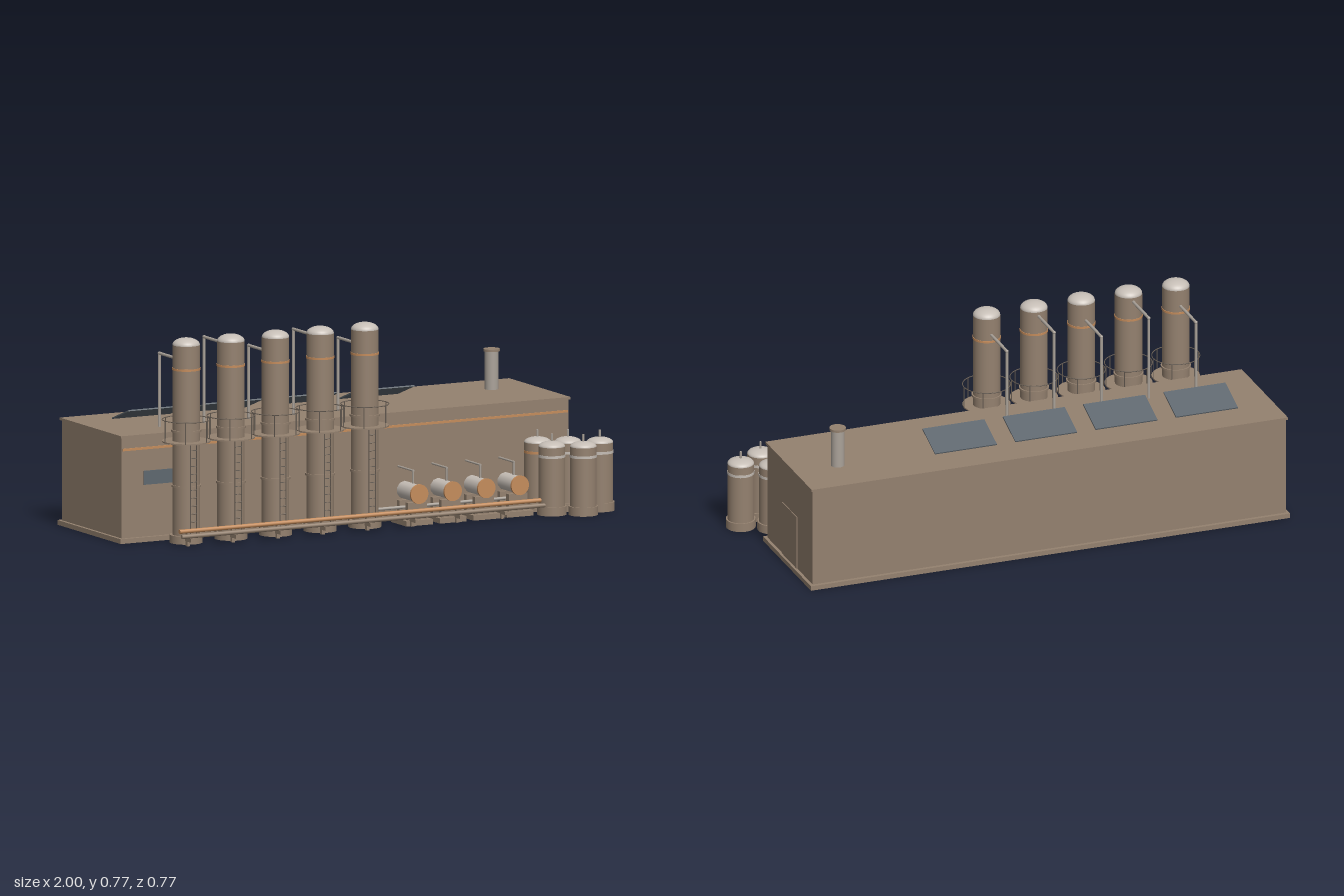
import * as THREE from 'three';

const mat = (name, color) => {
  const m = new THREE.MeshStandardMaterial({ color });
  m.name = name;
  return m;
};

export function createModel() {
  const clay = mat('clay brown', 0x94816f);
  const pale = mat('pale steel', 0xc6beb6);
  const steel = mat('pipe steel', 0xaaa299);
  const copper = mat('copper orange', 0xc48c5c);
  const glass = mat('slate glass', 0x5e676e);
  const rail = mat('dark rail', 0x6a6056);

  const model = new THREE.Group();
  model.name = 'processingPlant';

  const add = (parent, name, geo, material, x = 0, y = 0, z = 0) => {
    const m = new THREE.Mesh(geo, material);
    m.name = name;
    m.position.set(x, y, z);
    parent.add(m);
    return m;
  };
  const group = (name, x = 0, z = 0) => {
    const g = new THREE.Group();
    g.name = name;
    g.position.set(x, 0, z);
    model.add(g);
    return g;
  };
  // box given by its limits
  const box = (p, name, material, x0, x1, y0, y1, z0, z1) =>
    add(p, name, new THREE.BoxGeometry(x1 - x0, y1 - y0, z1 - z0), material,
      (x0 + x1) / 2, (y0 + y1) / 2, (z0 + z1) / 2);
  // upright cylinder between two heights
  const cyl = (p, name, material, r, y0, y1, x = 0, z = 0, seg = 32) =>
    add(p, name, new THREE.CylinderGeometry(r, r, y1 - y0, seg), material, x, (y0 + y1) / 2, z);
  // straight rod between two points
  const rod = (p, name, material, r, a, b) => {
    const A = new THREE.Vector3(...a), B = new THREE.Vector3(...b);
    const m = add(p, name, new THREE.CylinderGeometry(r, r, A.distanceTo(B), 10), material);
    m.position.addVectors(A, B).multiplyScalar(0.5);
    m.quaternion.setFromUnitVectors(new THREE.Vector3(0, 1, 0), B.sub(A).normalize());
    return m;
  };
  const dome = (p, name, material, r, h, y) => {
    const g = new THREE.SphereGeometry(r, 32, 10, 0, Math.PI * 2, 0, Math.PI / 2);
    g.scale(1, h / r, 1);
    return add(p, name, g, material, 0, y, 0);
  };

  // Main hall
  const hall = group('hall');
  box(hall, 'plinth', clay, -1, 0.915, 0, 0.018, -0.387, 0.115);
  box(hall, 'walls', clay, -0.988, 0.903, 0.018, 0.397, -0.373, 0.1);
  box(hall, 'roof', clay, -0.994, 0.909, 0.397, 0.406, -0.379, 0.106);
  box(hall, 'wallStripe', copper, -0.985, 0.9, 0.348, 0.357, 0.099, 0.104);
  box(hall, 'window', glass, -0.895, -0.665, 0.214, 0.267, 0.098, 0.103);
  box(hall, 'door', clay, 0.902, 0.906, 0.018, 0.227, -0.212, -0.061);

  // Tilted roof panels
  for (let i = 0; i < 4; i++) {
    const panel = add(hall, 'roofPanel', new THREE.BoxGeometry(0.247, 0.005, 0.14), glass,
      -0.723 + i * 0.321, 0.436, -0.175);
    panel.rotation.x = -0.35;
  }

  // Chimney
  const chimney = group('chimney', 0.735, -0.194);
  cyl(chimney, 'chimneyStack', steel, 0.0255, 0.4, 0.552);
  cyl(chimney, 'chimneyCap', clay, 0.031, 0.55, 0.559);

  // Tall columns with platforms, ladders and overhead pipes
  const deckShape = new THREE.Shape().absarc(0, 0, 0.09, 0, Math.PI * 2);
  deckShape.holes.push(new THREE.Path().absarc(0, 0, 0.05, 0, Math.PI * 2, true));
  const deckGeo = new THREE.ExtrudeGeometry(deckShape, { depth: 0.005, bevelEnabled: false, curveSegments: 32 });
  deckGeo.rotateX(-Math.PI / 2);
  const railGeo = new THREE.TorusGeometry(0.09, 0.0018, 6, 40).rotateX(Math.PI / 2);

  for (let i = 0; i < 5; i++) {
    const c = group('column', -0.763 + i * 0.189, 0.19);
    cyl(c, 'columnBase', clay, 0.062, 0, 0.03);
    cyl(c, 'columnShell', clay, 0.0515, 0.03, 0.747);
    dome(c, 'columnDome', pale, 0.0515, 0.027, 0.747);
    cyl(c, 'lowerBand', clay, 0.056, 0.211, 0.219);
    cyl(c, 'middleBand', clay, 0.0565, 0.419, 0.427);
    cyl(c, 'upperBand', copper, 0.0535, 0.653, 0.661);

    add(c, 'platform', deckGeo, clay, 0, 0.38, 0);
    add(c, 'handrail', railGeo, rail, 0, 0.465, 0);
    for (let k = 0; k < 6; k++) {
      const a = k * Math.PI / 3;
      cyl(c, 'railPost', rail, 0.0018, 0.383, 0.465, 0.09 * Math.cos(a), 0.09 * Math.sin(a), 6);
    }

    for (const s of [-1, 1]) cyl(c, 'ladderRail', rail, 0.0018, 0.03, 0.383, s * 0.013, 0.059, 6);
    for (let k = 0; k < 11; k++) {
      const y = 0.055 + k * 0.03;
      rod(c, 'ladderRung', rail, 0.0015, [-0.013, y, 0.059], [0.013, y, 0.059]);
    }

    const y = i % 2 ? 0.731 : 0.684;
    rod(c, 'overheadPipe', steel, 0.006, [0, y, -0.04], [0, y, -0.212]);
    rod(c, 'downPipe', steel, 0.0055, [0, y, -0.212], [0, 0.4, -0.212]);
    add(c, 'pipeElbow', new THREE.SphereGeometry(0.0065, 12, 8), steel, 0, y, -0.212);
  }

  // Low pipe rack along the front
  const rack = group('pipeRack');
  rod(rack, 'backRackPipe', copper, 0.008, [-0.837, 0.057, 0.275], [0.712, 0.057, 0.275]);
  rod(rack, 'frontRackPipe', clay, 0.008, [-0.837, 0.04, 0.293], [0.712, 0.04, 0.293]);
  for (let i = 0; i < 8; i++) {
    const x = -0.8 + i * 0.19;
    box(rack, 'rackPost', clay, x - 0.006, x + 0.006, 0, 0.05, 0.265, 0.279);
    box(rack, 'rackArm', clay, x - 0.006, x + 0.006, 0.018, 0.032, 0.262, 0.308);
  }
  rod(rack, 'linkPipe', steel, 0.006, [0.03, 0.06, 0.187], [0.62, 0.06, 0.187]);

  // Horizontal drums on skids
  for (let i = 0; i < 4; i++) {
    const d = group('drumSkid', 0.184 + i * 0.142, 0.206);
    box(d, 'skid', clay, -0.056, 0.056, 0, 0.02, -0.061, 0.061);
    for (const z of [-0.035, 0.035])
      box(d, 'saddle', clay, -0.04, 0.04, 0.02, 0.085, z - 0.01, z + 0.01);
    rod(d, 'drum', pale, 0.034, [0, 0.118, -0.058], [0, 0.118, 0.054]);
    const end = add(d, 'drumEnd', new THREE.CylinderGeometry(0.037, 0.037, 0.009, 28), copper, 0, 0.118, 0.057);
    end.rotation.x = Math.PI / 2;
    cyl(d, 'drumRiser', steel, 0.004, 0.15, 0.2, 0, 0.01, 10);
    rod(d, 'drumFeed', steel, 0.004, [0, 0.2, 0.013], [0, 0.2, -0.107]);
  }

  // Cluster of upright tanks
  const spots = [[0.741, 0.158], [0.741, 0.272], [0.842, 0.21], [0.842, 0.332], [0.944, 0.272]];
  spots.forEach(([x, z], i) => {
    const t = group('tank', x, z);
    cyl(t, 'tankBase', clay, 0.056, 0, 0.033);
    cyl(t, 'tankShell', clay, 0.05, 0.033, 0.257);
    dome(t, 'tankDome', pale, 0.05, 0.02, 0.257);
    cyl(t, 'tankBand', i === 0 ? copper : pale, 0.0508, 0.217, 0.227);
    cyl(t, 'tankVent', steel, 0.004, 0.27, 0.304, 0, 0, 10);
  });

  return model;
}
